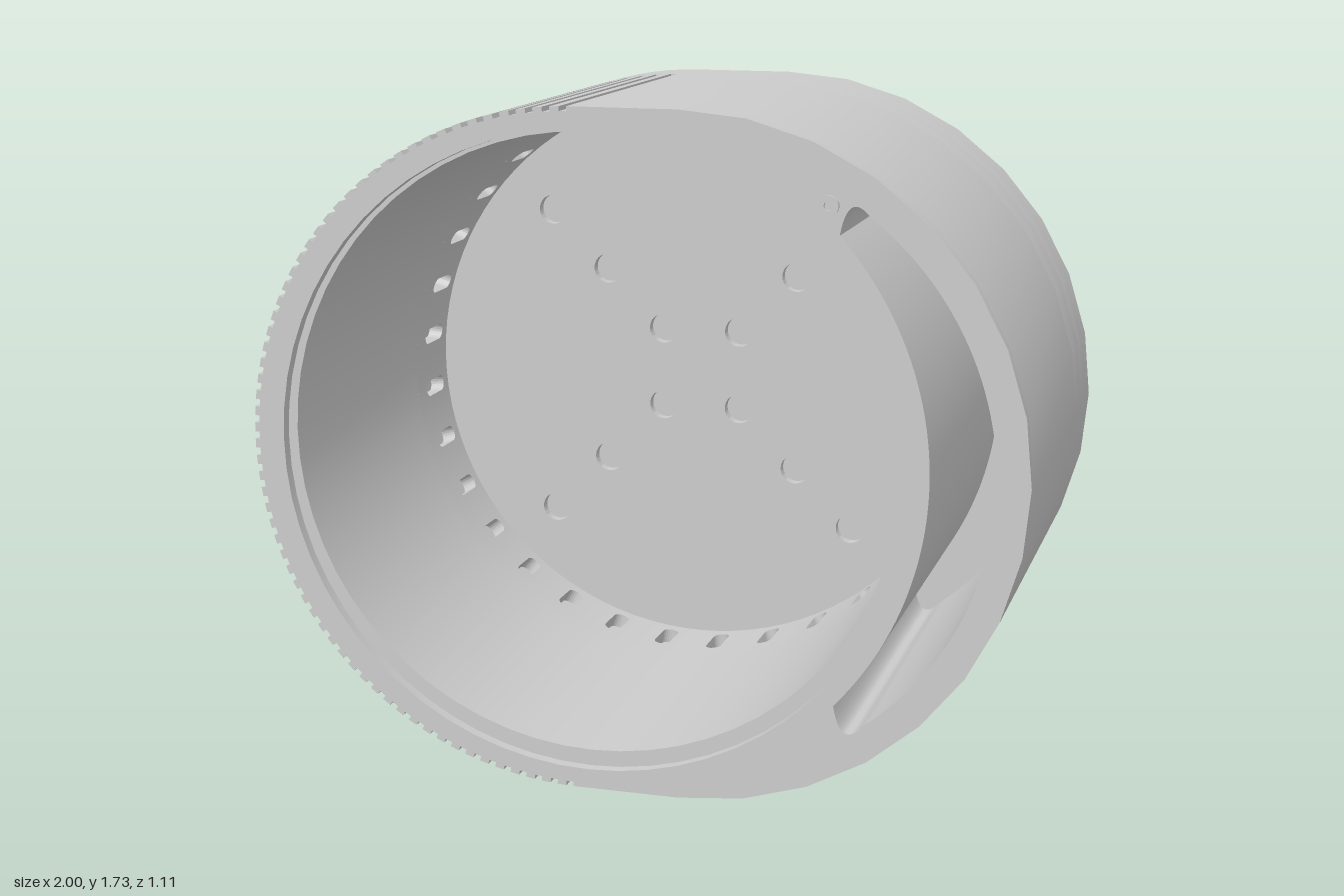
import * as THREE from 'three';
import { toCreasedNormals } from 'three/addons/utils/BufferGeometryUtils.js';

const R = 0.867, OFF = 0.133, CY = 0.867;        // outer stadium: two half circles
const CX = -0.105, CAV_Y = 0.882, CAV_R = 0.79;  // round cavity
const SLOT_DEPTH = 0.04, SLOTS = 32;
const Z = { front: 0.545, step: 0.515, band: -0.28, grip: -0.4, floor: -0.505, hole: -0.535, back: -0.555 };

const material = new THREE.MeshStandardMaterial({ color: 0xcccccc, side: THREE.DoubleSide });

// Outer outline, optionally with grip grooves around its right-hand half
function outline(grooved) {
  const pts = [];
  const add = (cx, r, a) => pts.push(new THREE.Vector2(cx + r * Math.cos(a), CY + r * Math.sin(a)));
  for (let i = 0; i <= 16; i++) add(OFF, R, -Math.PI / 2 + (i / 16) * Math.PI);
  add(-OFF, R, Math.PI / 2);
  const n = 63, half = 0.0095 / R;
  if (grooved) {
    for (let i = 0; i < n; i++) {
      const a = Math.PI / 2 + ((i + 0.5) / n) * Math.PI;
      add(-OFF, R, a - half);
      add(-OFF, R - 0.012, a - half);
      add(-OFF, R - 0.012, a + half);
      add(-OFF, R, a + half);
    }
  } else {
    for (let i = 1; i < n; i++) add(-OFF, R, Math.PI / 2 + (i / n) * Math.PI);
  }
  add(-OFF, R, 1.5 * Math.PI);
  return new THREE.Shape(pts);
}

function circle(x, y, r) {
  return new THREE.Path().absarc(x, y, r, 0, Math.PI * 2, false);
}

// Crescent pocket between two arcs, with rounded ends
function crescent() {
  const a = THREE.MathUtils.degToRad(53), b = THREE.MathUtils.degToRad(42.5);
  const ri = 0.862, ro = 0.787;
  const p = new THREE.Path();
  p.absarc(0.13, CY, ro, -a, a, false);
  p.quadraticCurveTo(0.55, 1.56, CX + ri * Math.cos(b), CY + ri * Math.sin(b));
  p.absarc(CX, CY, ri, b, -b, true);
  p.quadraticCurveTo(0.55, 2 * CY - 1.56, 0.13 + ro * Math.cos(a), CY - ro * Math.sin(a));
  return p;
}

// One slice of the body between two z positions
function slice(name, z0, z1, grooved, holes) {
  const shape = outline(grooved);
  shape.holes.push(...holes);
  const geo = new THREE.ExtrudeGeometry(shape, { depth: z1 - z0, bevelEnabled: false, curveSegments: 32 });
  geo.translate(0, 0, z0);
  const mesh = new THREE.Mesh(toCreasedNormals(geo, 0.4), material);
  mesh.name = name;
  return mesh;
}

// A flat panel with one rounded slot, bent onto the cavity wall
function slotPanel(index) {
  const step = (Math.PI * 2) / SLOTS, w = step * CAV_R, sub = 3;
  const shape = new THREE.Shape();
  shape.moveTo(-w / 2, Z.floor);
  for (let i = 1; i <= sub; i++) shape.lineTo(-w / 2 + (w * i) / sub, Z.floor);
  for (let i = 0; i <= sub; i++) shape.lineTo(w / 2 - (w * i) / sub, Z.band);
  const r = 0.022, slot = new THREE.Path();
  slot.absarc(0, -0.365, r, 0, Math.PI, false);
  slot.absarc(0, -0.45, r, Math.PI, Math.PI * 2, false);
  shape.holes.push(slot);
  const geo = new THREE.ExtrudeGeometry(shape, { depth: SLOT_DEPTH, bevelEnabled: false, curveSegments: 5 });
  const pos = geo.attributes.position, nor = geo.attributes.normal;
  const inner = [];
  for (let i = 0; i < pos.count; i++) {
    inner.push(nor.getZ(i) < -0.5);
    const a = (index + 0.5) * step + pos.getX(i) / CAV_R, rad = CAV_R + pos.getZ(i);
    pos.setXYZ(i, CX + rad * Math.cos(a), CAV_Y + rad * Math.sin(a), pos.getY(i));
  }
  geo.computeVertexNormals();
  // smooth shading on the visible inner wall
  inner.forEach((isInner, i) => {
    if (!isInner) return;
    const a = Math.atan2(pos.getY(i) - CAV_Y, pos.getX(i) - CX);
    nor.setXYZ(i, -Math.cos(a), -Math.sin(a), 0);
  });
  const mesh = new THREE.Mesh(geo, material);
  mesh.name = 'slotPanel';
  return mesh;
}

export function createModel() {
  const model = new THREE.Group();
  model.name = 'roundHousing';

  // Shallow round holes on the two diagonals of the floor
  const floorHoles = [];
  for (const d of [0.1125, 0.28, 0.445])
    for (const sx of [-1, 1])
      for (const sy of [-1, 1]) floorHoles.push(circle(CX + sx * d, CAV_Y + sy * d, 0.042));

  // Body slices from front rim to closed back
  const cavity = circle(CX, CAV_Y, CAV_R);
  const wideCavity = circle(CX, CAV_Y, CAV_R + SLOT_DEPTH);
  model.add(
    slice('frontRim', Z.step, Z.front, true, [circle(CX, 0.865, 0.815), crescent()]),
    slice('gripBody', Z.band, Z.step, true, [cavity, crescent()]),
    slice('slotBandBody', Z.grip, Z.band, true, [wideCavity, crescent()]),
    slice('smoothBackBand', Z.floor, Z.grip, false, [wideCavity, crescent()]),
    slice('cavityFloor', Z.hole, Z.floor, false, floorHoles),
    slice('backPlate', Z.back, Z.hole, false, [])
  );

  // Ring of slots around the cavity wall, next to the floor
  const slots = new THREE.Group();
  slots.name = 'slotRing';
  for (let i = 0; i < SLOTS; i++) slots.add(slotPanel(i));
  model.add(slots);

  // Small hollow pin on the front rim
  const profile = [[0.012, -0.005], [0.012, 0.01], [0.024, 0.01], [0.024, -0.005]];
  const pinGeo = new THREE.LatheGeometry(profile.map(([x, y]) => new THREE.Vector2(x, y)), 20);
  pinGeo.rotateX(Math.PI / 2);
  const pin = new THREE.Mesh(toCreasedNormals(pinGeo, 0.6), material);
  pin.name = 'hollowPin';
  pin.position.set(0.505, 1.52, Z.front);
  model.add(pin);

  return model;
}
